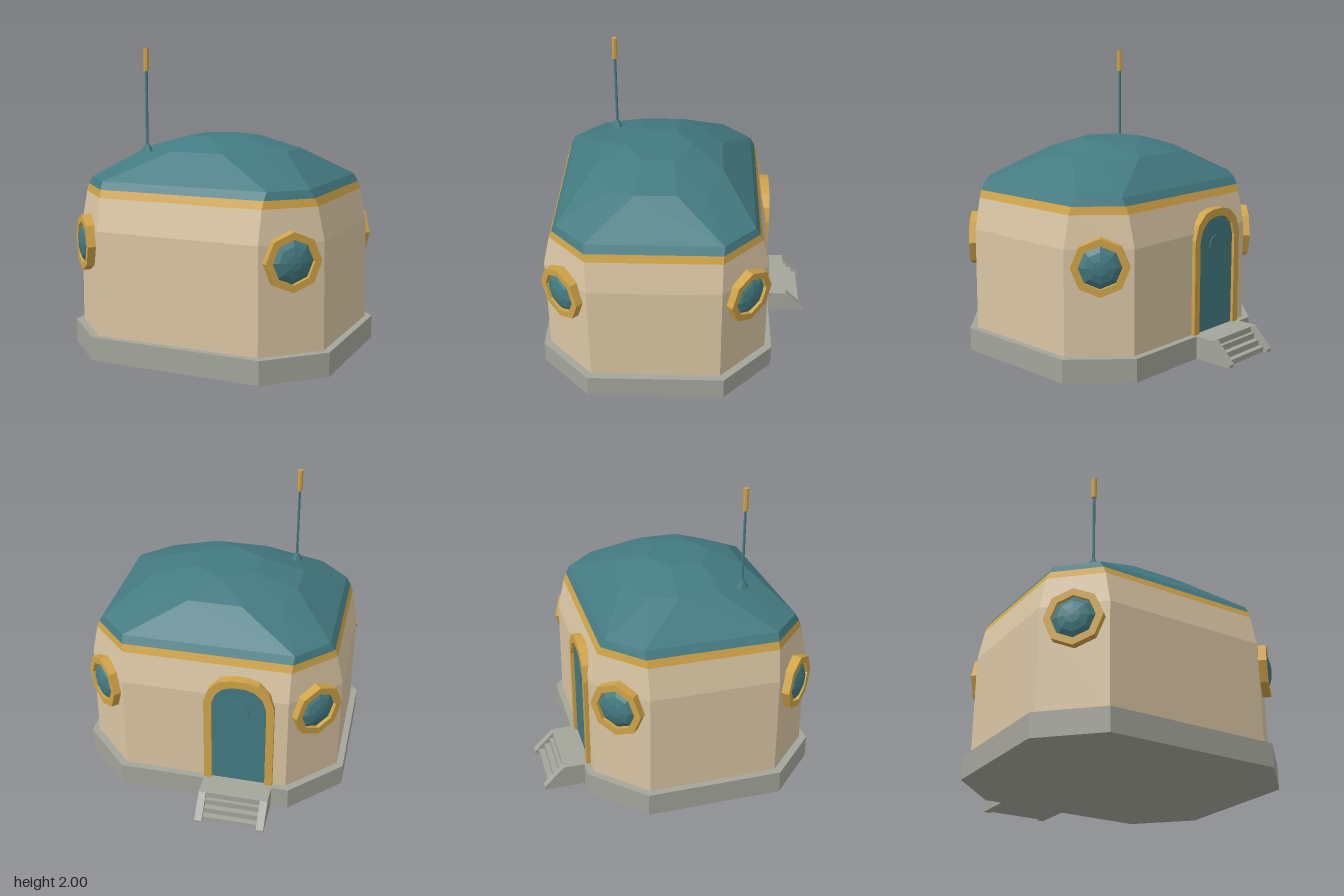
import * as THREE from 'three';
import { ConvexGeometry } from 'three/addons/geometries/ConvexGeometry.js';

const paint = (name, color) => {
  const m = new THREE.MeshStandardMaterial({ color });
  m.name = name;
  return m;
};

const ZC = 0.135; // the hut sits forward of centre to leave room for the steps

// Faceted normals for every part
function flat(geo) {
  const g = geo.index ? geo.toNonIndexed() : geo;
  g.computeVertexNormals();
  return g;
}

// Chamfered rectangle: half sizes hx, hz with straight sides ending at cx, cz
function octagon(y, hx, hz, cx, cz) {
  return [[hx, -cz], [hx, cz], [cx, hz], [-cx, hz], [-hx, cz], [-hx, -cz], [-cx, -hz], [cx, -hz]]
    .map(([x, z]) => new THREE.Vector3(x, y, z + ZC));
}

// Skin a stack of rings from bottom to top
function loft(rings, caps) {
  const n = rings[0].length, pos = [], idx = [];
  rings.forEach(r => r.forEach(p => pos.push(p.x, p.y, p.z)));
  for (let k = 0; k < rings.length - 1; k++) {
    for (let i = 0; i < n; i++) {
      const a = k * n + i, b = k * n + (i + 1) % n;
      idx.push(a, a + n, b + n, a, b + n, b);
    }
  }
  if (caps) {
    const t = (rings.length - 1) * n;
    for (let i = 1; i < n - 1; i++) idx.push(0, i, i + 1, t, t + i + 1, t + i);
  }
  const g = new THREE.BufferGeometry();
  g.setAttribute('position', new THREE.Float32BufferAttribute(pos, 3));
  g.setIndex(idx);
  return g;
}

const extrude = (shape, depth) => new THREE.ExtrudeGeometry(shape, { depth, bevelEnabled: false });

// Regular octagon with a point at the top
function ringPoints(r) {
  return Array.from({ length: 8 }, (_, i) =>
    new THREE.Vector2(r * Math.cos(i * Math.PI / 4), r * Math.sin(i * Math.PI / 4)));
}

// Right half of a faceted arch mirrored into an open outline, inset by d
function archPoints(d) {
  const half = [[0.235 - d, 0.15], [0.235 - d, 0.8 - d * 0.3], [0.2 - d * 0.85, 0.9 - d * 0.7],
    [0.13 - d * 0.5, 0.965 - d], [0.05 - d * 0.2, 0.985 - d]];
  return [...half, ...half.map(([x, y]) => [-x, y]).reverse()]
    .map(([x, y]) => new THREE.Vector2(x, y));
}

export function createModel() {
  const wall = paint('sand wall', 0xd8c4a2);
  const gold = paint('gold trim', 0xcfa347);
  const teal = paint('teal', 0x437a81);
  const stone = paint('grey stone', 0xa3a49a);

  const model = new THREE.Group();
  model.name = 'domedHut';
  const add = (name, geo, mat, parent = model) => {
    const mesh = new THREE.Mesh(flat(geo), mat);
    mesh.name = name;
    parent.add(mesh);
    return mesh;
  };

  // Foundation slab
  add('foundation', loft([octagon(0, 0.915, 0.785, 0.585, 0.455),
    octagon(0.155, 0.915, 0.785, 0.585, 0.455)], true), stone);

  // Walls, gold band and roof skirt share the same rings
  const r0 = octagon(0.15, 0.87, 0.74, 0.56, 0.43);
  const r1 = octagon(0.84, 0.866, 0.738, 0.558, 0.43);
  const r2 = octagon(1.05, 0.822, 0.69, 0.56, 0.432);
  const r3 = octagon(1.1, 0.803, 0.67, 0.565, 0.436);
  const r4 = octagon(1.15, 0.77, 0.64, 0.57, 0.44);
  add('walls', loft([r0, r1, r2]), wall);
  add('goldBand', loft([r2, r3]), gold);
  add('roofSkirt', loft([r3, r4]), teal);

  // Faceted dome roof
  const domePoints = [...r4];
  for (const sx of [-1, 1]) {
    for (const sz of [-1, 1]) {
      for (const [x, y, z] of [[0.5, 1.34, 0.135], [0.42, 1.317, 0.31], [0.18, 1.34, 0.43], [0.2, 1.422, 0.11]]) {
        domePoints.push(new THREE.Vector3(sx * x, y, ZC + sz * z));
      }
    }
  }
  domePoints.push(new THREE.Vector3(0, 1.422, ZC + 0.22), new THREE.Vector3(0, 1.422, ZC - 0.22));
  add('domeRoof', new ConvexGeometry(domePoints), teal);

  // Porthole windows on the four chamfered corners
  for (const sx of [-1, 1]) {
    for (const sz of [-1, 1]) {
      const win = new THREE.Group();
      win.name = 'porthole';
      win.position.set(sx * 0.717, 0.735, ZC + sz * 0.597);
      win.rotation.y = Math.atan2(sx, sz);
      const rim = new THREE.Shape(ringPoints(0.185));
      rim.holes.push(new THREE.Path(ringPoints(0.138).reverse()));
      add('portholeRim', extrude(rim, 0.075).translate(0, 0, -0.035), gold, win);
      const profile = [[0.142, 0.01], [0.1, 0.04], [0.05, 0.055], [0, 0.06]]
        .map(([x, y]) => new THREE.Vector2(x, y));
      add('portholeGlass', new THREE.LatheGeometry(profile, 8).rotateX(Math.PI / 2), teal, win);
      model.add(win);
    }
  }

  // Arched back door
  const door = new THREE.Group();
  door.name = 'door';
  door.position.x = -0.235;
  model.add(door);
  const frame = new THREE.Shape([...archPoints(0), ...archPoints(0.052).reverse()]);
  add('doorFrame', extrude(frame, 0.09).translate(0, 0, -0.632), gold, door);
  add('doorPanel', extrude(new THREE.Shape(archPoints(0.045)), 0.06).translate(0, 0, -0.612), teal, door);
  const peep = add('doorPeephole', new THREE.CylinderGeometry(0.065, 0.065, 0.008, 10), teal, door);
  peep.rotation.x = Math.PI / 2;
  peep.position.set(0, 0.74, -0.614);

  // Landing with steps between two sloping side rails
  const steps = new THREE.Group();
  steps.name = 'steps';
  model.add(steps);
  add('landing', new THREE.BoxGeometry(0.47, 0.155, 0.19).translate(-0.235, 0.0775, -0.695), stone, steps);
  for (const x of [-0.47, -0.05]) {
    const side = new THREE.Shape([[0.79, 0], [0.925, 0], [0.925, 0.02], [0.79, 0.155]]
      .map(([u, v]) => new THREE.Vector2(u, v)));
    const rail = extrude(side, 0.05).rotateY(Math.PI / 2).translate(x, 0, 0);
    add('stepRail', rail, stone, steps);
  }
  [[0.815, 0.115], [0.855, 0.075], [0.895, 0.035]].forEach(([z, h]) => {
    const d = z - 0.78;
    add('tread', new THREE.BoxGeometry(0.38, h, d).translate(-0.235, h / 2, -0.78 - d / 2), stone, steps);
  });

  // Roof antenna
  const antenna = new THREE.Group();
  antenna.name = 'antenna';
  antenna.position.set(-0.42, 0, 0.45);
  model.add(antenna);
  add('antennaFoot', new THREE.CylinderGeometry(0.012, 0.042, 0.055, 6).translate(0, 1.345, 0), teal, antenna);
  add('antennaRod', new THREE.CylinderGeometry(0.009, 0.009, 0.52, 6).translate(0, 1.6, 0), teal, antenna);
  add('antennaTip', new THREE.CylinderGeometry(0.018, 0.018, 0.15, 8).translate(0, 1.925, 0), gold, antenna);

  return model;
}
